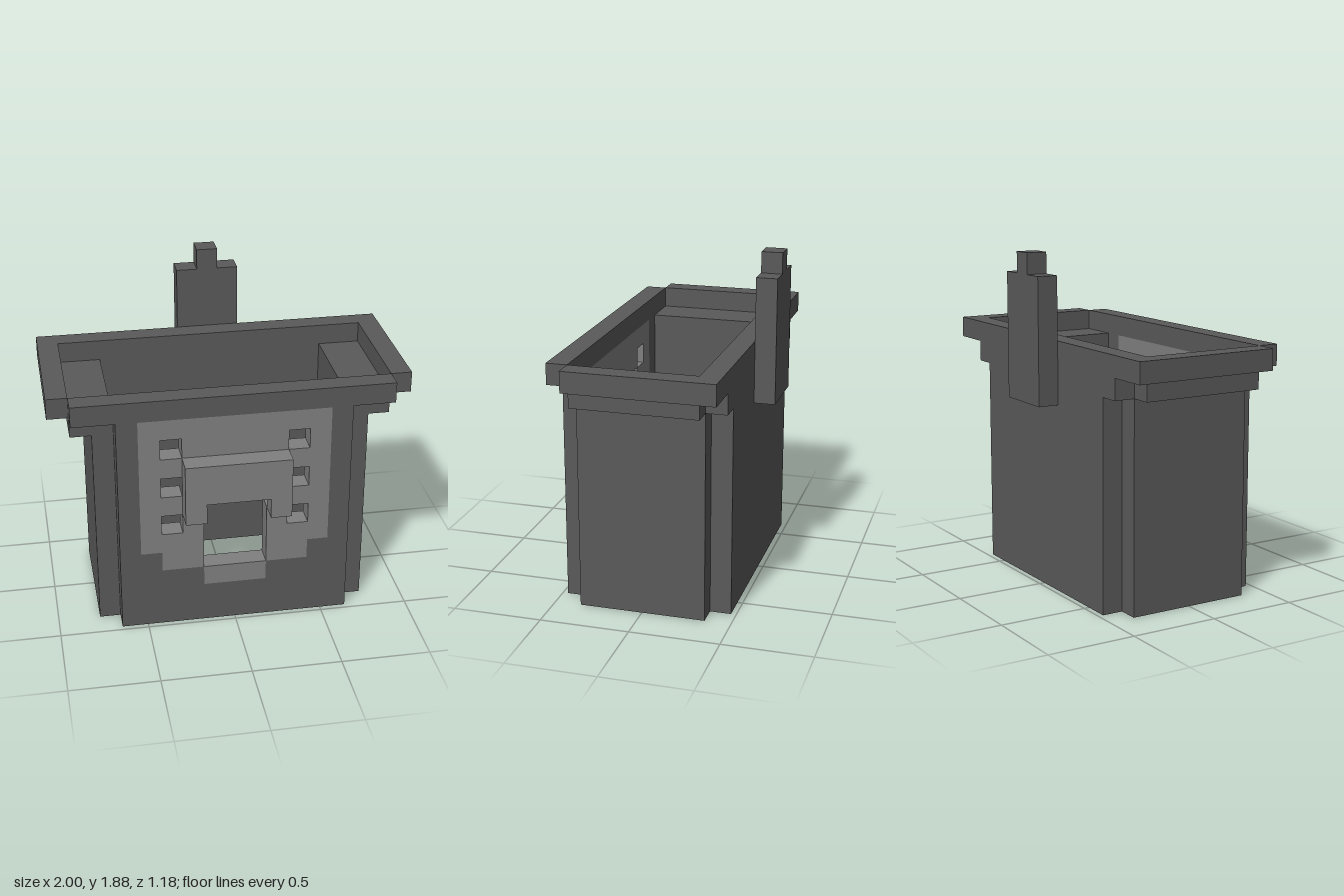
import * as THREE from 'three';

// One block of the model is 2/17 units; all sizes below are in blocks.
const U = 2 / 17;

export function createModel() {
  const model = new THREE.Group();
  const dark = new THREE.MeshStandardMaterial({ color: 0x5a5a5a, flatShading: true });
  const light = new THREE.MeshStandardMaterial({ color: 0x808080, flatShading: true });

  // Box given by its limits on each axis
  function box(name, mat, x0, x1, y0, y1, z0, z1) {
    const geo = new THREE.BoxGeometry((x1 - x0) * U, (y1 - y0) * U, (z1 - z0) * U);
    const mesh = new THREE.Mesh(geo, mat);
    mesh.position.set((x0 + x1) / 2 * U, (y0 + y1) / 2 * U, (z0 + z1) / 2 * U);
    mesh.name = name;
    model.add(mesh);
  }
  // Symmetric box: centred when x0 is 0, otherwise a mirrored pair
  function sym(name, mat, x0, x1, y0, y1, z0, z1) {
    if (x0 === 0) return box(name, mat, -x1, x1, y0, y1, z0, z1);
    box(name + 'Left', mat, x0, x1, y0, y1, z0, z1);
    box(name + 'Right', mat, -x1, -x0, y0, y1, z0, z1);
  }

  // Back and side walls
  sym('backWall', dark, 0, 5.5, 0, 11, -4, -3);
  sym('backWallShoulder', dark, 5.5, 6.5, 10, 11, -4, -3);
  sym('sideWall', dark, 5.5, 6.5, 0, 10, -3, 3);
  sym('sideLedge', dark, 5.5, 7.5, 10, 11, -3, 3);

  // Rim around the open top
  sym('backRim', dark, 0, 8.5, 11, 12, -4, -3);
  sym('sideRim', dark, 7.5, 8.5, 11, 12, -3, 3);
  sym('frontRim', dark, 0, 7.5, 11, 12, 3, 4);

  // Front wall framing the face panel: [x0, x1, y0, y1]
  const frame = [[4.5, 5.5, 0, 11], [0, 4.5, 0, 2], [1.5, 4.5, 2, 3], [3.5, 4.5, 3, 4]];
  for (const r of frame) sym('frontWall', dark, ...r, 3, 4);

  // Face panel, leaving six square holes and the mouth opening
  const panel = [
    [0, 4.5, 10, 11], [0, 2.5, 9, 10], [3.5, 4.5, 5, 10],
    [2.5, 3.5, 8, 9], [2.5, 3.5, 6, 7], [1.5, 2.5, 5, 6],
    [1.5, 4.5, 4, 5], [1.5, 3.5, 3, 4], [0, 1.5, 2, 3],
  ];
  for (const r of panel) sym('facePanel', light, ...r, 3, 4);

  // Raised snout over the mouth
  sym('snout', light, 0, 2.5, 7, 9, 4, 5);
  sym('snoutTip', light, 1.5, 2.5, 6, 7, 4, 5);

  // Post on the back
  sym('backPost', dark, 0, 1.5, 9, 15, -5, -4);
  sym('backPostTip', dark, 0, 0.5, 15, 16, -5, -4);

  return model;
}
